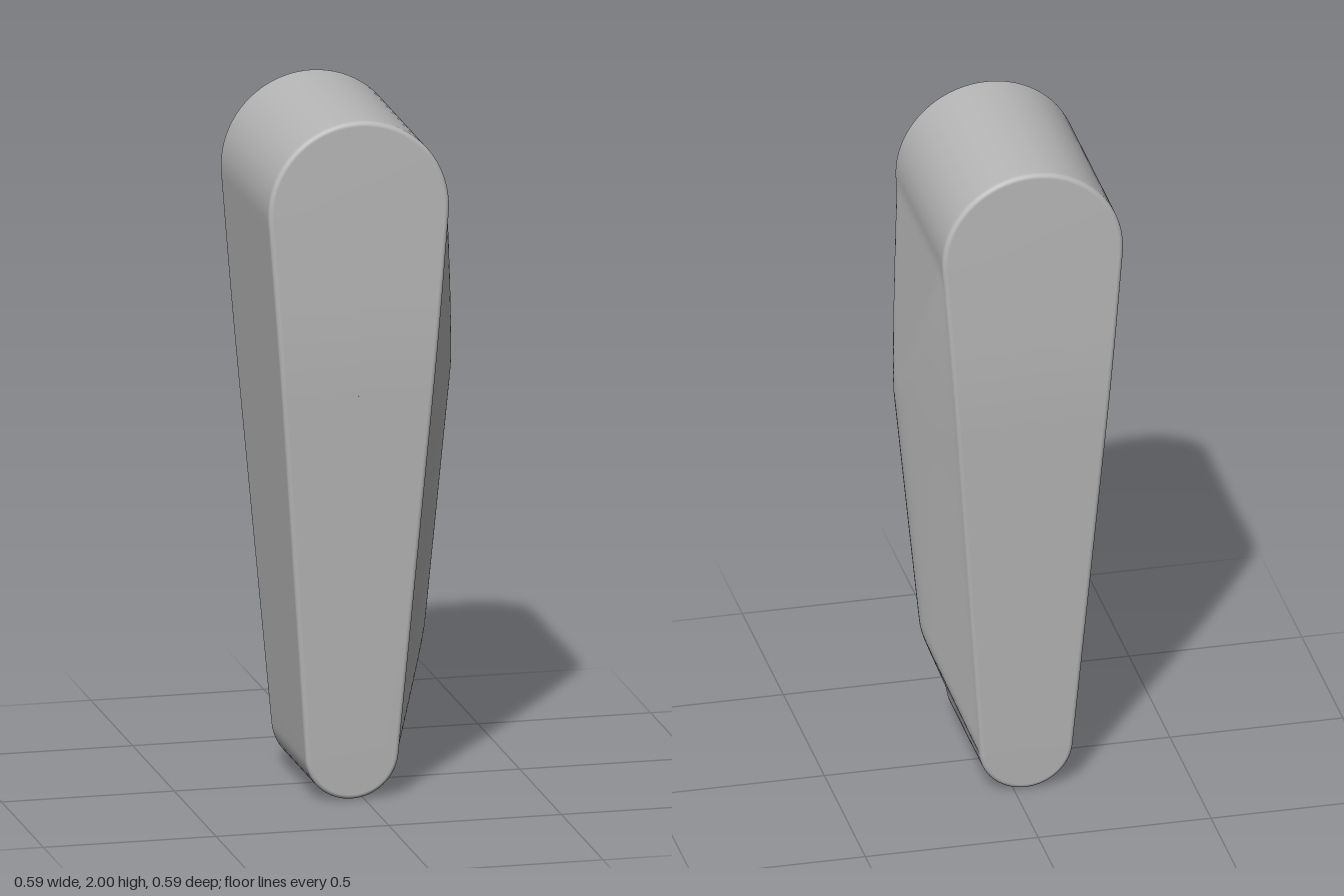
import * as THREE from 'three';

const CX = -0.035;                       // spine of the tapered bar
const TOP = { y: 1.738, r: 0.262 };
const BOTTOM = { y: 0.135, r: 0.135 };
const BEVEL = 0.014;

const softMin = (a, b, k) => {
  const h = Math.max(k - Math.abs(a - b), 0) / k;
  return Math.min(a, b) - h * h * k / 4;
};

// Half depth: constant near the head, tapering towards the foot
const halfDepth = (y) => softMin(0.295, 0.207 + 0.066 * y, 0.012);

// Swelling of the +x side: a rounded ridge closed by a sloping facet at each end
function bulge(u, s) {
  const e = 0.12, k = Math.hypot(1, e);
  const tent = (k - Math.hypot(s, e)) / (k - e);
  const ridge = (0.092 + 0.032 * u) * tent;
  const ends = softMin(0.52 * u, 0.36 * (1 - u), 0.012);
  return Math.max(0, softMin(ridge, ends, 0.012));
}

// Outline of two arcs joined by tangents: position, normal, spine height, ridge parameter
function makeOutline() {
  const tilt = Math.asin((TOP.r - BOTTOM.r) / (TOP.y - BOTTOM.y));
  const pts = [];
  const add = (angle, y, r, u = -1) => {
    const nx = Math.cos(angle), ny = Math.sin(angle);
    pts.push({ x: CX + r * nx, y: y + r * ny, nx, ny, spineY: y, u });
  };
  const arc = (c, from, to, n) => {
    for (let i = 0; i <= n; i++) add(from + (to - from) * i / n, c.y, c.r);
  };
  const side = (a, b, angle, n, ridged) => {
    for (let i = 1; i < n; i++) {
      const t = i / n;
      add(angle, a.y + (b.y - a.y) * t, a.r + (b.r - a.r) * t, ridged ? t : -1);
    }
  };
  arc(TOP, -tilt, Math.PI + tilt, 40);
  side(TOP, BOTTOM, Math.PI + tilt, 40, false);
  arc(BOTTOM, Math.PI + tilt, 2 * Math.PI - tilt, 28);
  side(BOTTOM, TOP, -tilt, 60, true);
  return pts;
}

// Rows across the depth: s spans the body, inset and sink shape the rounded rims
function makeRows() {
  const rim = [{ cap: true, inset: 0, sink: 0 }];
  for (let i = 0; i < 5; i++) {
    const a = (i / 5) * Math.PI / 2;
    rim.push({ inset: BEVEL * (1 - Math.sin(a)), sink: BEVEL * (1 - Math.cos(a)) });
  }
  const rows = rim.map((r) => ({ ...r, s: -1 }));
  for (let i = 0; i <= 32; i++) rows.push({ s: -1 + i / 16, inset: 0, sink: BEVEL });
  return rows.concat(rim.reverse().map((r) => ({ ...r, s: 1 })));
}

function makeBody() {
  const outline = makeOutline(), rows = makeRows(), n = outline.length;
  const position = [], index = [];
  for (const row of rows) {
    for (const p of outline) {
      if (row.cap) {
        position.push(CX, p.spineY, row.s * halfDepth(p.spineY));
        continue;
      }
      const swell = p.u >= 0 ? bulge(p.u, row.s) : 0;
      position.push(
        p.x - p.nx * row.inset + swell,
        p.y - p.ny * row.inset,
        row.s * (halfDepth(p.y) - row.sink),
      );
    }
  }
  for (let i = 0; i < rows.length - 1; i++) {
    for (let j = 0; j < n; j++) {
      const k = (j + 1) % n;
      const a = i * n + j, b = i * n + k, c = b + n, d = a + n;
      index.push(a, b, c, a, c, d);
    }
  }
  const geometry = new THREE.BufferGeometry();
  geometry.setAttribute('position', new THREE.Float32BufferAttribute(position, 3));
  geometry.setIndex(index);
  geometry.computeVertexNormals();
  return geometry;
}

export function createModel() {
  const group = new THREE.Group();
  group.name = 'taperedBar';
  const grey = new THREE.MeshStandardMaterial({ color: 0xb8b8b8 });
  grey.name = 'plain grey';
  const body = new THREE.Mesh(makeBody(), grey);
  body.name = 'ridgedBody';
  group.add(body);
  return group;
}
